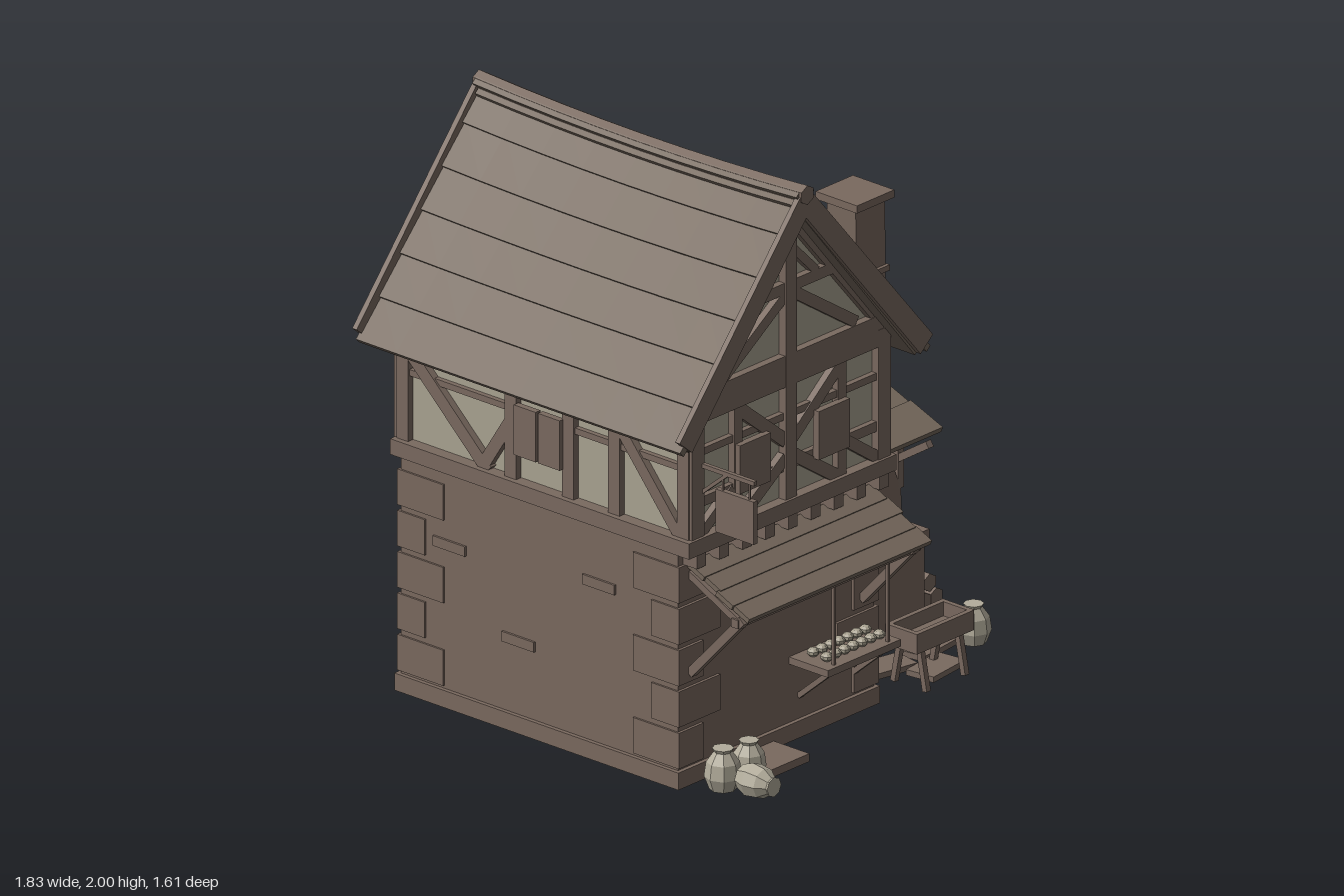
import * as THREE from 'three';

const mat = (name, color, flat = true) => new THREE.MeshStandardMaterial({ name, color, flatShading: flat });

export function createModel() {
  const timber = mat('timber', 0x7a6a60), stone = mat('stone', 0x7a695f), roofWood = mat('roofWood', 0x75685c);
  const plaster = mat('plaster', 0xaaa391), cloth = mat('sackcloth', 0xb3ad9c);
  const clay = mat('clay', 0x7a695f, false);
  clay.color.copy(stone.color);
  const root = new THREE.Group();
  const CX = -0.31; // house centre line

  const add = (parent, name, geo, m, x = 0, y = 0, z = 0) => {
    const mesh = new THREE.Mesh(geo, m);
    mesh.name = name;
    mesh.position.set(x, y, z);
    parent.add(mesh);
    return mesh;
  };
  const group = (name, parent = root) => {
    const g = new THREE.Group();
    g.name = name;
    parent.add(g);
    return g;
  };
  // box given by its limits
  const span = (parent, name, m, x0, x1, y0, y1, z0, z1) =>
    add(parent, name, new THREE.BoxGeometry(x1 - x0, y1 - y0, z1 - z0), m, (x0 + x1) / 2, (y0 + y1) / 2, (z0 + z1) / 2);
  // square bar between two points
  const strut = (parent, name, m, a, b, w, h = w) => {
    const p = new THREE.Vector3(...a), q = new THREE.Vector3(...b);
    const mesh = add(parent, name, new THREE.BoxGeometry(w, h, p.distanceTo(q)), m);
    mesh.position.copy(p).add(q).multiplyScalar(0.5);
    mesh.lookAt(q);
    return mesh;
  };
  // flat timber on a wall, in the wall's own u, v
  const beam = (wall, u0, v0, u1, v1, w = 0.05, d = 0.025) => {
    const geo = new THREE.BoxGeometry(Math.hypot(u1 - u0, v1 - v0), w, d);
    add(wall, 'beam', geo, timber, (u0 + u1) / 2, (v0 + v1) / 2, d / 2).rotation.z = Math.atan2(v1 - v0, u1 - u0);
  };
  const face = (name, x, z, ry) => {
    const g = group(name);
    g.position.set(x, 0, z);
    g.rotation.y = ry;
    return g;
  };

  // ground floor
  const ground = group('groundFloor');
  span(ground, 'stoneWall', stone, -0.785, 0.16, 0, 0.83, -0.715, 0.49);
  span(ground, 'plinth', stone, -0.8, 0.172, 0, 0.06, -0.73, 0.505);
  for (const sx of [-1, 1]) for (const sz of [-1, 1]) for (let i = 0; i < 5; i++) {
    const lx = i % 2 ? 0.2 : 0.12, lz = i % 2 ? 0.12 : 0.2, y = 0.07 + i * 0.145;
    const x = CX + sx * 0.482, z = sz > 0 ? 0.5 : -0.725;
    span(ground, 'cornerStone', stone, Math.min(x, x - sx * lx), Math.max(x, x - sx * lx), y, y + 0.125,
      Math.min(z, z - sz * lz), Math.max(z, z - sz * lz));
  }
  for (const [u, v] of [[-0.5, 0.55], [-0.2, 0.3], [0.15, 0.6]]) {
    span(ground, 'sideBrick', stone, -0.793, 0.168, v, v + 0.035, u - 0.07, u + 0.07);
    span(ground, 'backBrick', stone, CX + u * 0.6 - 0.07, CX + u * 0.6 + 0.07, v, v + 0.035, -0.723, -0.6);
  }

  // upper floor body
  const body = new THREE.Shape([[-0.46, 0.83], [0.46, 0.83], [0.46, 1.36], [0, 1.9], [-0.46, 1.36]].map(p => new THREE.Vector2(...p)));
  add(root, 'plasterWalls', new THREE.ExtrudeGeometry(body, { depth: 1.235, bevelEnabled: false }), plaster, CX, 0, -0.71);
  for (let i = 0; i < 9; i++) span(root, 'joistEnd', timber, -0.76 + i * 0.11, -0.715 + i * 0.11, 0.775, 0.83, 0.4, 0.55);
  span(root, 'sillBeam', timber, -0.815, 0.185, 0.83, 0.885, -0.735, 0.565);

  // gable framing, front and back
  for (const [name, z, ry] of [['frontFrame', 0.525, 0], ['backFrame', -0.71, Math.PI]]) {
    const f = face(name, CX, z, ry);
    beam(f, -0.46, 1.335, 0.46, 1.335, 0.11, 0.028);
    beam(f, -0.23, 1.625, 0.23, 1.625, 0.04);
    beam(f, 0, 0.85, 0, 1.88, 0.055, 0.03);
    beam(f, -0.46, 1.175, 0.46, 1.175, 0.025, 0.02);
    beam(f, -0.46, 1.0, 0.46, 1.0, 0.035, 0.02);
    for (const s of [-1, 1]) {
      beam(f, s * 0.45, 0.85, s * 0.45, 1.34, 0.06, 0.03);
      beam(f, s * 0.25, 0.85, s * 0.25, 1.3, 0.04);
      beam(f, s * 0.48, 1.33, 0, 1.89, 0.06);
      beam(f, s * 0.32, 1.4, s * 0.02, 1.6, 0.04);
      beam(f, s * 0.13, 1.64, s * 0.01, 1.76, 0.03);
      beam(f, s * 0.24, 0.88, s * 0.02, 1.03, 0.045);
      beam(f, s * 0.24, 1.27, s * 0.02, 1.09, 0.045);
      beam(f, s * 0.44, 0.88, s * 0.27, 1.0, 0.04);
      if (z > 0) for (const e of [0.115, 0.19]) span(f, 'shutter', timber, s * e - (s < 0 ? 0.075 : 0), s * e + (s > 0 ? 0.075 : 0), 0.985, 1.155, 0.02, 0.045);
    }
  }
  // side framing; u runs from the front to the back of the house
  for (const s of [1, -1]) {
    const f = face(s > 0 ? 'leftFrame' : 'rightFrame', CX + s * 0.46, 0, s * Math.PI / 2);
    const b = (u0, v0, u1, v1, w, d) => beam(f, s * u0, v0, s * u1, v1, w, d);
    b(-0.54, 1.28, 0.72, 1.28, 0.05);
    b(-0.53, 1.125, 0.7, 1.125, 0.022, 0.018);
    for (const u of [-0.52, -0.22, -0.02, 0.23, 0.7]) b(u, 0.86, u, 1.28, 0.05);
    b(-0.5, 0.89, -0.24, 1.2, 0.045);
    b(0.33, 0.88, 0.67, 1.2, 0.05);
    b(0.22, 1.1, 0.36, 0.88, 0.045);
    b(0.0, 0.99, 0.22, 0.99, 0.03);
    for (const e of [0.0, 0.105]) span(f, 'shutter', timber, Math.min(s * e, s * (e + 0.095)), Math.max(s * e, s * (e + 0.095)), 0.98, 1.155, 0.018, 0.042);
  }

  // roof of overlapping board courses with a sagging ridge
  const roof = group('roof');
  const sag = geo => {
    const p = geo.attributes.position;
    for (let i = 0; i < p.count; i++) {
      const t = (p.getZ(i) + 0.09) / 0.71;
      p.setY(i, p.getY(i) - 0.022 * (1 - t * t) * Math.max(0, (p.getY(i) - 1.2) / 0.8));
    }
    geo.computeVertexNormals();
    return geo;
  };
  const slope = Math.atan2(0.73, 0.605), len = 0.945, n = 6;
  for (const s of [-1, 1]) {
    for (let i = 0; i < n; i++) {
      const geo = new THREE.BoxGeometry(len / n + 0.025, 0.025, 1.41, 1, 1, 8);
      geo.rotateZ(0.07);
      geo.translate((i + 0.5) * len / n, -0.028, 0);
      geo.rotateZ(-slope);
      if (s < 0) geo.rotateY(Math.PI);
      geo.translate(CX, 1.99, -0.09);
      add(roof, 'boardCourse', sag(geo), roofWood);
    }
    const lining = new THREE.BoxGeometry(len - 0.02, 0.025, 1.38, 1, 1, 8);
    lining.translate(len / 2, -0.055, 0).rotateZ(-slope);
    if (s < 0) lining.rotateY(Math.PI);
    add(roof, 'roofLining', sag(lining.translate(CX, 1.99, -0.09)), roofWood);
    // boards along the gable edges
    const edge = new THREE.Shape([[0, 2], [s * 0.61, 1.285], [s * 0.55, 1.235], [0, 1.885]].map(p => new THREE.Vector2(...p)));
    for (const z of [0.6, -0.805]) add(roof, 'bargeBoard', new THREE.ExtrudeGeometry(edge, { depth: 0.02, bevelEnabled: false }), timber, CX, 0, z);
  }
  const ridge = new THREE.CylinderGeometry(0.034, 0.034, 1.43, 6, 8).rotateX(Math.PI / 2).translate(CX, 1.966, -0.09);
  add(roof, 'ridgeBeam', sag(ridge), timber);

  // shop awning
  const awning = group('awning');
  for (let i = 0; i < 4; i++) {
    const z = 0.5 + i * 0.062, y = 0.775 - i * 0.033;
    strut(awning, 'awningBoard', roofWood, [-0.31 + (i % 2) * 0.01, y, z], [-0.31 + (i % 2) * 0.01, y - 0.032, z + 0.07], 0.88, 0.018);
  }
  span(awning, 'awningRail', timber, -0.75, 0.13, 0.61, 0.64, 0.69, 0.72);
  for (const x of [-0.73, 0.095]) {
    strut(awning, 'awningBrace', timber, [x, 0.64, 0.73], [x, 0.39, 0.5], 0.03);
    strut(awning, 'awningRafter', timber, [x, 0.74, 0.49], [x, 0.62, 0.73], 0.025);
  }
  // counter shelf with loaves
  const shelf = group('shelf');
  span(shelf, 'shelfBoard', timber, -0.25, 0.1, 0.265, 0.29, 0.49, 0.66);
  span(shelf, 'hatchLintel', timber, -0.23, 0.09, 0.57, 0.605, 0.48, 0.52);
  for (const x of [-0.2, 0.06]) {
    span(shelf, 'shelfRod', timber, x - 0.005, x + 0.005, 0.28, 0.64, 0.635, 0.645);
    strut(shelf, 'shelfBrace', timber, [x, 0.27, 0.64], [x, 0.14, 0.49], 0.018);
  }
  for (let i = 0; i < 7; i++) for (const z of [0.54, 0.6])
    add(shelf, 'loaf', new THREE.SphereGeometry(0.02, 8, 5).scale(1, 0.8, 1.1), plaster, -0.19 + i * 0.042, 0.303, z);

  // hanging sign
  const sign = group('hangingSign');
  span(sign, 'signArm', timber, -0.74, -0.725, 1.125, 1.14, 0.52, 0.78);
  strut(sign, 'signBrace', timber, [-0.732, 1.03, 0.54], [-0.732, 1.13, 0.66], 0.012);
  span(sign, 'signBoard', timber, -0.742, -0.722, 0.92, 1.07, 0.615, 0.78);
  for (const z of [0.64, 0.755]) span(sign, 'signHook', timber, -0.735, -0.729, 1.06, 1.13, z - 0.003, z + 0.003);

  // oven: base, dome, mouth, chimney
  const oven = group('oven');
  span(oven, 'ovenBase', stone, 0.23, 0.78, 0, 0.29, -0.58, 0.15);
  span(oven, 'ovenSlab', stone, 0.22, 0.79, 0.285, 0.318, -0.595, 0.162);
  const dome = add(oven, 'ovenDome', new THREE.SphereGeometry(1, 20, 8, 0, Math.PI * 2, 0, Math.PI / 2), clay, 0.505, 0.315, -0.24);
  dome.scale.set(0.24, 0.258, 0.315);
  const mouth = new THREE.Shape([[0.33, 0.31], [0.44, 0.31], [0.44, 0.42], [0.46, 0.44], [0.55, 0.44], [0.57, 0.42], [0.57, 0.31],
    [0.67, 0.31], [0.66, 0.5], [0.6, 0.64], [0.36, 0.64], [0.34, 0.5]].map(p => new THREE.Vector2(...p)));
  add(oven, 'ovenMouth', new THREE.ExtrudeGeometry(mouth, { depth: 0.13, bevelEnabled: false }), stone, 0, 0, 0.025);
  const flue = new THREE.BoxGeometry(0.14, 0.93, 0.125, 1, 8, 1).translate(0.5, 1.07, 0.095);
  const fp = flue.attributes.position;
  for (let i = 0; i < fp.count; i++) fp.setX(i, fp.getX(i) + 0.013 * Math.sin((fp.getY(i) - 0.6) * 3.4 - 0.8));
  flue.computeVertexNormals();
  add(oven, 'chimney', flue, stone);
  span(oven, 'chimneyBand', stone, 0.42, 0.59, 1.29, 1.31, 0.02, 0.17);
  span(oven, 'chimneyCap', stone, 0.415, 0.595, 1.548, 1.575, 0.005, 0.185);
  // hood over the mouth
  strut(oven, 'hoodBoard', roofWood, [0.505, 0.825, 0.04], [0.505, 0.77, 0.18], 0.39, 0.02);
  strut(oven, 'hoodBoard', roofWood, [0.505, 0.79, 0.16], [0.505, 0.735, 0.3], 0.385, 0.02);
  for (const x of [0.35, 0.66]) {
    strut(oven, 'hoodBrace', timber, [x, 0.69, 0.28], [x, 0.6, 0.14], 0.025);
    span(oven, 'hoodPost', timber, x - 0.015, x + 0.015, 0.5, 0.69, 0.12, 0.155);
  }
  strut(oven, 'peel', timber, [0.35, 0.02, 0.29], [0.35, 0.64, 0.165], 0.015);

  // trough and loose planks
  const trough = group('trough');
  span(trough, 'troughFloor', timber, 0.29, 0.56, 0.15, 0.17, 0.425, 0.56);
  for (const z of [0.425, 0.545]) span(trough, 'troughSide', timber, 0.285, 0.56, 0.15, 0.22, z, z + 0.018);
  for (const x of [0.285, 0.545]) span(trough, 'troughEnd', timber, x, x + 0.018, 0.15, 0.22, 0.425, 0.56);
  for (const x of [0.335, 0.52]) for (const s of [-1, 1])
    strut(trough, 'troughLeg', timber, [x, 0.16, 0.49 + s * 0.04], [x, 0.005, 0.49 + s * 0.07], 0.02);
  for (const [x, z, r] of [[0.385, 0.335, -0.2], [0.595, 0.325, 0.12], [0.49, 0.46, 0.12]])
    add(root, 'loosePlank', new THREE.BoxGeometry(0.18, 0.02, 0.11), timber, x, 0.012, z).rotation.y = r;
  span(root, 'doorStep', stone, -0.58, -0.34, 0, 0.028, 0.49, 0.66);

  // firewood
  const wood = group('firewood');
  for (const [x, y] of [[0.825, 0.036], [0.882, 0.036], [0.85, 0.095]])
    add(wood, 'log', new THREE.CylinderGeometry(0.032, 0.034, 0.29, 6).rotateX(Math.PI / 2), timber, x, y, -0.035);
  for (const z of [-0.415, -0.495]) {
    const log = add(wood, 'standingLog', new THREE.CylinderGeometry(0.032, 0.036, 0.36, 6), timber, 0.832, 0.19, z);
    log.rotation.z = 0.12;
  }

  // sacks
  const sackProfile = [[0, 0], [0.045, 0], [0.062, 0.045], [0.055, 0.095], [0.03, 0.13], [0.036, 0.142], [0, 0.142]].map(p => new THREE.Vector2(...p));
  for (const [x, z, k] of [[-0.69, 0.6, 1], [-0.565, 0.6, 0.92], [0.75, 0.39, 0.95]])
    add(root, 'sack', new THREE.LatheGeometry(sackProfile, 8), cloth, x, 0, z).scale.setScalar(k);
  const fallen = add(root, 'fallenSack', new THREE.LatheGeometry(sackProfile, 8), cloth, -0.67, 0.055, 0.67);
  fallen.rotation.x = Math.PI / 2;
  fallen.scale.set(0.95, 0.95, 0.95);
  return root;
}
